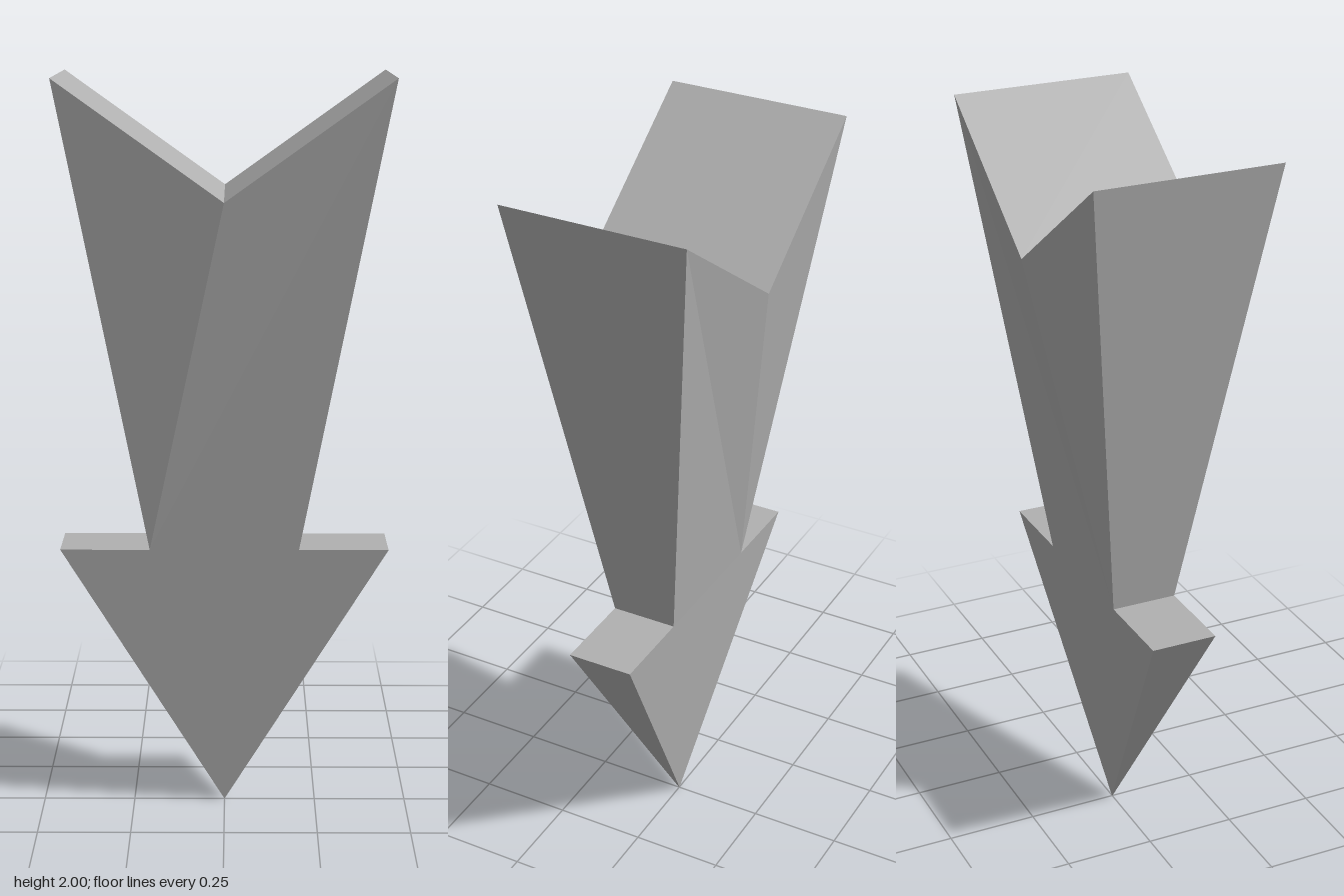
import * as THREE from 'three';

// Solid from an anticlockwise outline of [x, y, halfDepth], mirrored front to back.
function taperedSolid(outline, faces) {
  const positions = [];
  const put = (i, side) => {
    const [x, y, d] = outline[i];
    positions.push(x, y, d * side);
  };
  for (const [a, b, c] of faces) {
    put(a, 1); put(b, 1); put(c, 1);
    put(a, -1); put(c, -1); put(b, -1);
  }
  // Walls joining front and back
  outline.forEach((_, i) => {
    const j = (i + 1) % outline.length;
    put(i, 1); put(i, -1); put(j, -1);
    put(i, 1); put(j, -1); put(j, 1);
  });
  const geometry = new THREE.BufferGeometry();
  geometry.setAttribute('position', new THREE.Float32BufferAttribute(positions, 3));
  geometry.computeVertexNormals();
  return geometry;
}

export function createModel() {
  const group = new THREE.Group();
  group.name = 'arrow';
  const grey = new THREE.MeshStandardMaterial({ color: 0xb0b0b0 });
  grey.name = 'grey';

  const add = (name, outline, faces) => {
    const mesh = new THREE.Mesh(taperedSolid(outline, faces), grey);
    mesh.name = name;
    group.add(mesh);
  };

  // Pointed head, thinning to the tip
  add('arrowHead', [[0, 0.005, 0.001], [0.44, 0.745, 0.09], [-0.44, 0.745, 0.09]], [[0, 1, 2]]);

  // Shaft, widening and thickening up to a notched end
  add('shaft', [
    [-0.2, 0.745, 0.09], [0.2, 0.745, 0.09], [0.435, 2, 0.252], [0, 1.69, 0.252], [-0.435, 2, 0.252],
  ], [[0, 1, 2], [0, 2, 3], [0, 3, 4]]);

  return group;
}
